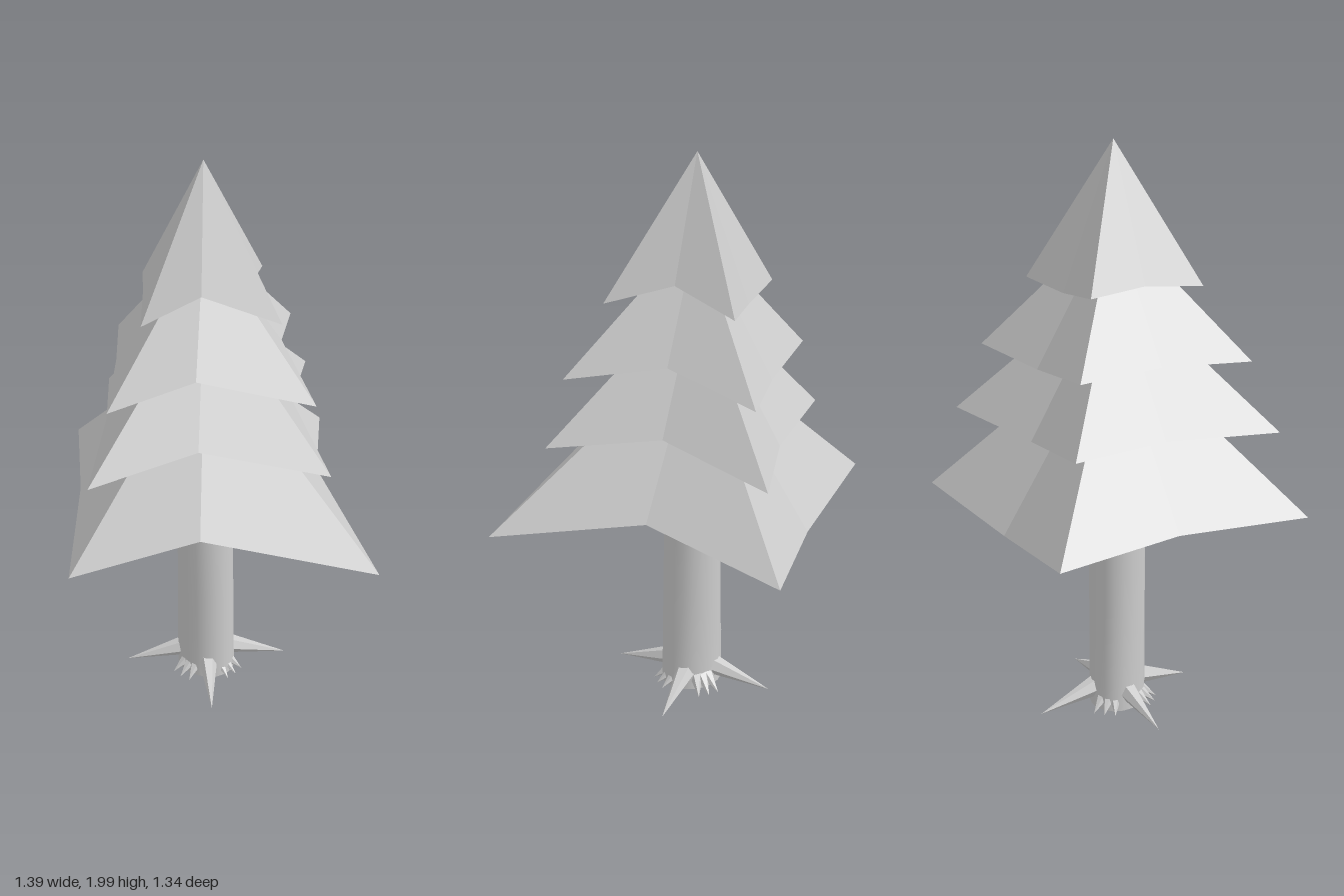
import * as THREE from 'three';

const CX = -0.06; // trunk axis

// Open eight-point skirt of branches. Ring runs counter-clockwise seen from above.
function tierGeometry(apexY, ring) {
  const pos = [];
  ring.forEach((p, i) => pos.push(CX, apexY, 0, ...p, ...ring[(i + 1) % ring.length]));
  const g = new THREE.BufferGeometry();
  g.setAttribute('position', new THREE.Float32BufferAttribute(pos, 3));
  g.computeVertexNormals();
  return g;
}

// Tapered root lying from the trunk out to a point, flattened at the ground
function rootGeometry(angle, reach, startY, endY, width) {
  const start = new THREE.Vector3(0.05, startY, 0);
  const dir = new THREE.Vector3(reach, endY, 0).sub(start);
  let g = new THREE.ConeGeometry(width, dir.length(), 6, 2);
  g.translate(0, dir.length() / 2, 0);
  g.applyQuaternion(new THREE.Quaternion().setFromUnitVectors(
    new THREE.Vector3(0, 1, 0), dir.clone().normalize()));
  g.translate(start.x, start.y, start.z);
  const p = g.attributes.position;
  for (let i = 0; i < p.count; i++) p.setY(i, Math.max(p.getY(i), 0.012));
  g.rotateY(angle);
  g = g.toNonIndexed();
  g.computeVertexNormals();
  return g;
}

export function createModel() {
  const tree = new THREE.Group();
  tree.name = 'tree';
  const grey = new THREE.MeshStandardMaterial({ color: 0xcccccc, side: THREE.DoubleSide });
  grey.name = 'light grey';

  const add = (geometry, name, parent = tree) => {
    const mesh = new THREE.Mesh(geometry, grey);
    mesh.name = name;
    parent.add(mesh);
    return mesh;
  };

  // Foliage: tip height, left/right/depth tips, then the four in-between corners
  const tiers = [
    { apex: 2.0, y: 1.54, l: -0.335, r: 0.265, d: 0.3,
      br: [0.065, 1.61, -0.115], bl: [-0.185, 1.52, -0.135], fl: [-0.2, 1.56, 0.14], fr: [0.067, 1.63, 0.157] },
    { apex: 1.75, y: 1.3, l: -0.46, r: 0.41, d: 0.465,
      br: [0.12, 1.365, -0.185], bl: [-0.24, 1.275, -0.21], fl: [-0.265, 1.317, 0.21], fr: [0.12, 1.385, 0.245] },
    { apex: 1.56, y: 1.065, l: -0.52, r: 0.48, d: 0.565,
      br: [0.15, 1.13, -0.215], bl: [-0.27, 1.035, -0.225], fl: [-0.3, 1.083, 0.235], fr: [0.15, 1.15, 0.27] },
    { apex: 1.37, y: 0.775, l: -0.7, r: 0.69, d: 0.67,
      br: [0.23, 0.86, -0.265], bl: [-0.35, 0.725, -0.3], fl: [-0.38, 0.8, 0.3], fr: [0.23, 0.885, 0.355] },
  ];
  const foliage = new THREE.Group();
  foliage.name = 'foliage';
  tree.add(foliage);
  tiers.forEach((t, i) => add(tierGeometry(t.apex, [
    [t.r, t.y, 0], t.br, [CX, t.y, -t.d], t.bl,
    [t.l, t.y, 0], t.fl, [CX, t.y, t.d], t.fr,
  ]), `branchTier${i + 1}`, foliage));

  // Trunk, slightly wider in x towards the ground
  const trunkGeo = new THREE.CylinderGeometry(0.094, 0.114, 1.09, 18, 3);
  const tp = trunkGeo.attributes.position;
  for (let i = 0; i < tp.count; i++) {
    const widen = 0.102 - 0.0183 * tp.getY(i);
    tp.setZ(i, tp.getZ(i) * 0.096 / widen);
  }
  trunkGeo.computeVertexNormals();
  add(trunkGeo, 'trunk').position.set(-0.052, 0.555, 0.01);

  // Four long diagonal roots with short stubs between them
  const roots = new THREE.Group();
  roots.name = 'roots';
  roots.position.set(-0.056, 0, 0.003);
  tree.add(roots);
  for (let i = 0; i < 4; i++) {
    const a = (i + 0.5) * Math.PI / 2;
    add(rootGeometry(a, 0.3, 0.085, 0.024, 0.042), 'longRoot', roots);
    for (const off of [-0.52, 0.52, 0.785]) {
      add(rootGeometry(a + off, 0.148, 0.075, 0.012, 0.035), 'shortRoot', roots);
    }
  }
  return tree;
}
